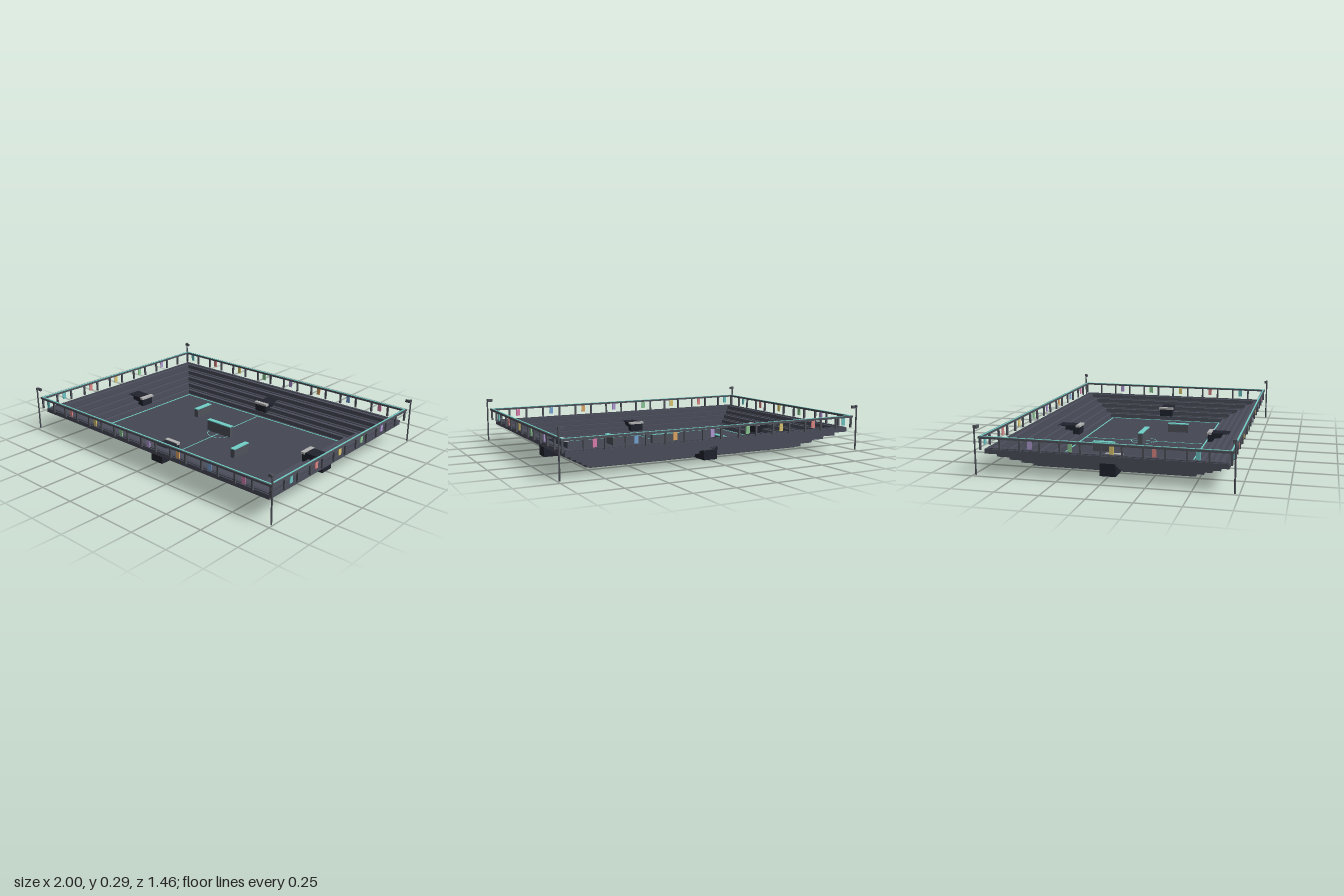
import * as THREE from 'three';

const mat = (color) => new THREE.MeshStandardMaterial({ color });
const M = {
  floor: mat(0x444852), tier: mat(0x4c4f5c), bench: mat(0x444753), dark: mat(0x20232e),
  metal: mat(0x50535c), teal: mat(0x70d0c8), light: mat(0xb4b4b4),
};
const PANEL_COLORS = [0x6cc5c5, 0xe08888, 0xdcc870, 0x8cc896, 0xb49cd8, 0xe0a868, 0x78a8d8, 0xe080b0].map(mat);

export function createModel() {
  const root = new THREE.Group();
  root.name = 'arena';

  const add = (name, geometry, material, x, y, z) => {
    const mesh = new THREE.Mesh(geometry, material);
    mesh.name = name;
    mesh.position.set(x, y, z);
    root.add(mesh);
    return mesh;
  };
  // Box given by its size, centre x/z and its bottom y
  const box = (name, material, w, h, d, x, y, z) =>
    add(name, new THREE.BoxGeometry(w, h, d), material, x, y + h / 2, z);

  // Rectangular ring with half sizes ox, oz, rim width t and height h, standing on y
  const ring = (name, material, ox, oz, t, h, y) => {
    const rect = (C, a, b) => new C([[-a, -b], [a, -b], [a, b], [-a, b]].map((p) => new THREE.Vector2(...p)));
    const shape = rect(THREE.Shape, ox, oz);
    shape.holes.push(rect(THREE.Path, ox - t, oz - t));
    const geometry = new THREE.ExtrudeGeometry(shape, { depth: h, bevelEnabled: false });
    geometry.rotateX(-Math.PI / 2);
    return add(name, geometry, material, 0, y, 0);
  };

  // Playing floor and its markings
  box('floor', M.floor, 1.44, 0.01, 0.912, 0, 0, 0);
  ring('boundaryLine', M.teal, 0.679, 0.412, 0.009, 0.002, 0.01);
  box('centreLine', M.teal, 0.005, 0.002, 0.81, 0, 0.01, 0);
  const circle = add('centreCircle', new THREE.RingGeometry(0.08, 0.085, 48), M.teal, 0, 0.0125, 0);
  circle.rotation.x = -Math.PI / 2;

  // Low cover walls with bright caps
  for (const [x, z, w, d, h] of [[0, 0, 0.2, 0.03, 0.07], [-0.32, -0.18, 0.03, 0.14, 0.055], [0.317, 0.172, 0.03, 0.14, 0.055]]) {
    box('coverWall', M.metal, w, h, d, x, 0.01, z);
    box('coverCap', M.teal, w + 0.002, 0.006, d + 0.002, x, 0.01 + h, z);
  }

  // Stepped stands, each tier overhanging the one below
  const step = 0.0275;
  for (let i = 0; i < 5; i++) {
    const ox = 0.75 + 0.05 * i, oz = 0.482 + 0.052 * i, y = 0.01 + step * i;
    ring('standTier', M.tier, ox, oz, 0.052, step, y);
    ring('standBench', M.bench, ox - 0.008, oz - 0.008, 0.02, 0.004, y + step);
  }

  // Entrance tunnels in the middle of each side, with a pale lintel
  for (const s of [-1, 1]) {
    box('entranceTunnel', M.dark, 0.092, 0.093, 0.15, 0, 0.005, s * 0.511);
    box('entranceLintel', M.light, 0.106, 0.014, 0.028, 0, 0.088, s * 0.446);
    box('entranceTunnel', M.dark, 0.15, 0.093, 0.092, s * 0.777, 0.005, 0);
    box('entranceLintel', M.light, 0.028, 0.014, 0.106, s * 0.709, 0.088, 0);
  }

  // Railing around the rim
  const RX = 0.97, RZ = 0.705, NX = 16, NZ = 12;
  ring('topRail', M.metal, RX + 0.01, RZ + 0.01, 0.02, 0.012, 0.212);
  ring('railLightStrip', M.teal, RX + 0.003, RZ + 0.003, 0.009, 0.002, 0.224);
  const post = (x, z) => box('railPost', M.metal, 0.011, 0.066, 0.011, x, 0.147, z);
  for (const s of [-1, 1]) {
    for (let i = 0; i <= NX; i++) post(-RX + (2 * RX * i) / NX, s * RZ);
    for (let i = 1; i < NZ; i++) post(s * RX, RZ - (2 * RZ * i) / NZ);
    // Coloured panels in every other bay
    for (let i = 0; i < 8; i++)
      box('railPanel', PANEL_COLORS[i], 0.025, 0.045, 0.006, -RX + (2 * RX * (2 * i + 0.5)) / NX, 0.165, s * RZ);
    for (let i = 0; i < 5; i++)
      box('railPanel', PANEL_COLORS[i], 0.006, 0.045, 0.025, s * RX, 0.165, RZ - (2 * RZ * (2 * i + 1.5)) / NZ);
  }

  // Corner floodlight masts
  for (const sx of [-1, 1]) for (const sz of [-1, 1]) {
    add('lightMast', new THREE.CylinderGeometry(0.005, 0.005, 0.27, 8), M.metal, sx * 0.995, 0.14, sz * 0.726);
    box('mastCap', M.metal, 0.012, 0.014, 0.012, sx * 0.994, 0.277, sz * 0.726);
    box('floodlight', M.metal, 0.034, 0.017, 0.012, sx * 0.981, 0.272, sz * 0.716);
  }

  return root;
}
